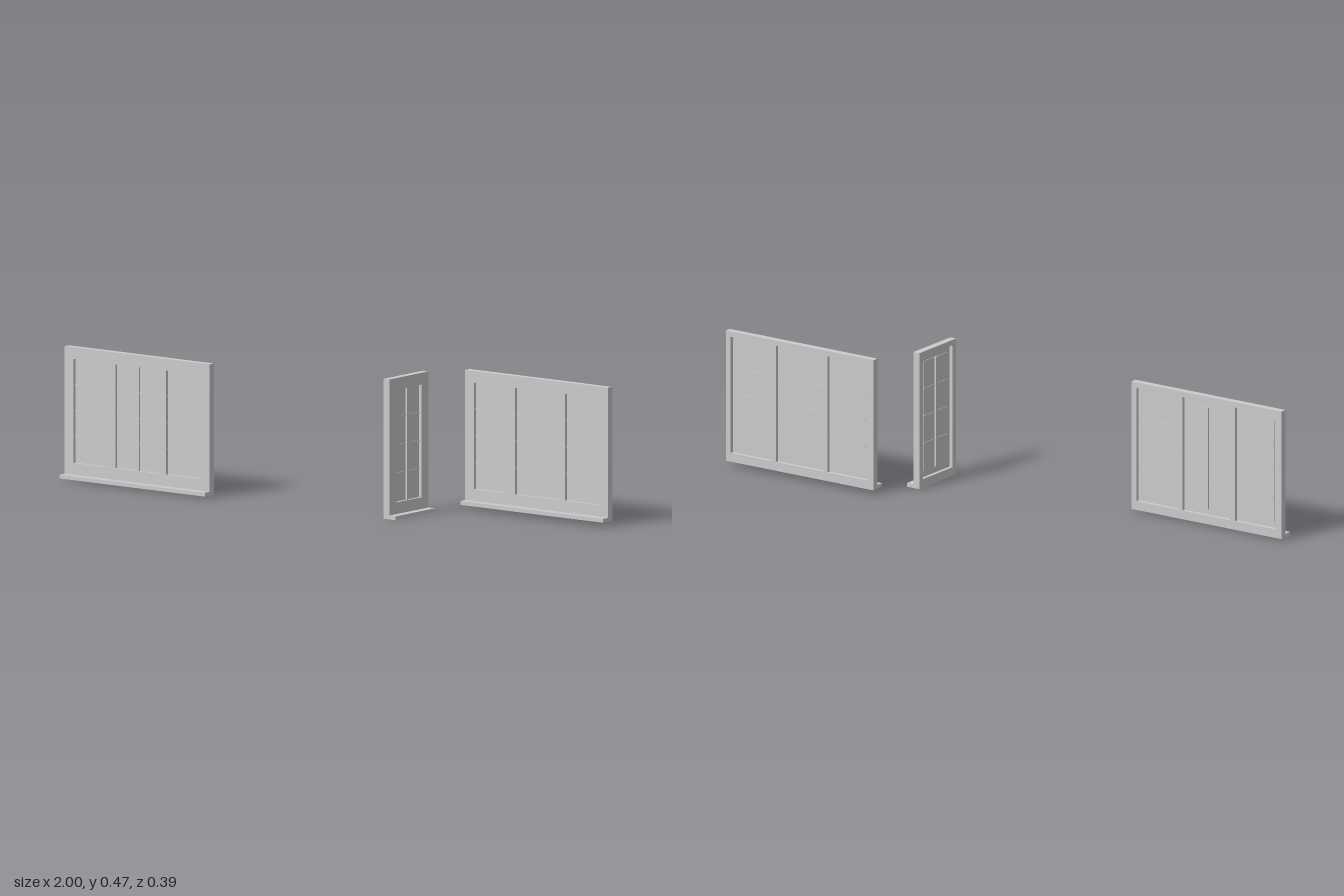
import * as THREE from 'three';

const material = new THREE.MeshStandardMaterial({ color: 0xcccccc });
const DEPTH = 0.024;        // full frame thickness
const SILL = 0.013;         // sill height

function addBox(group, name, w, h, d, x, y, z) {
  const mesh = new THREE.Mesh(new THREE.BoxGeometry(w, h, d), material);
  mesh.name = name;
  mesh.position.set(x, y, z);
  group.add(mesh);
}

// Flat board from z0 to z1 with a rectangular opening per [x0, x1] span
function addBoard(group, name, w, h, spans, y0, y1, z0, z1) {
  const rect = (path, a, b, c, d) =>
    path.moveTo(a, b).lineTo(c, b).lineTo(c, d).lineTo(a, d).closePath();
  const shape = rect(new THREE.Shape(), -w / 2, 0, w / 2, h);
  for (const [a, b] of spans) shape.holes.push(rect(new THREE.Path(), a, y0, b, y1));
  const geometry = new THREE.ExtrudeGeometry(shape, { depth: z1 - z0, bevelEnabled: false });
  geometry.translate(0, 0, z0);
  const mesh = new THREE.Mesh(geometry, material);
  mesh.name = name;
  group.add(mesh);
}

// One window facing +z with its back on z = 0; split lists the sashes with a centre bar
function buildWindow(name, w, h, spans, split, sillDepth) {
  const group = new THREE.Group();
  group.name = name;
  const y0 = 0.052, y1 = h - 0.039;

  // Wide front casing, and a slimmer rim behind it
  addBoard(group, 'frontCasing', w, h, spans, y0, y1, 0.012, DEPTH);
  const rimSpans = spans.map(([a, b], i) => [
    a - (i === 0 ? 0.017 : 0.006),
    b + (i === spans.length - 1 ? 0.017 : 0.006),
  ]);
  addBoard(group, 'backRim', w, h, rimSpans, 0.03, h - 0.018, 0, 0.012);

  // Glass with shallow glazing bars on both faces
  spans.forEach(([a, b], i) => {
    const cx = (a + b) / 2, cy = (y0 + y1) / 2, pw = b - a, ph = y1 - y0;
    addBox(group, 'glass', pw, ph, 0.004, cx, cy, 0.012);
    for (let k = 1; k < 4; k++) {
      addBox(group, 'glazingBar', pw, 0.005, 0.008, cx, y0 + (ph * k) / 4, 0.012);
    }
    if (split.includes(i)) addBox(group, 'centreBar', 0.008, ph, 0.016, cx, cy, 0.012);
  });

  addBox(group, 'sill', w, SILL, sillDepth, 0, SILL / 2, DEPTH + sillDepth / 2);
  return group;
}

export function createModel() {
  const model = new THREE.Group();
  model.name = 'windowSet';
  const triple = (w) => [[0.062, 0.30], [0.35, 0.65], [0.70, 0.938]]
    .map((span) => span.map((f) => (f - 0.5) * w));

  const rightWindow = buildWindow('rightWindow', 0.605, 0.438, triple(0.605), [1], 0.026);
  rightWindow.position.set(-0.6975, 0.007, 0.146);

  const leftWindow = buildWindow('leftWindow', 0.595, 0.447, triple(0.595), [], 0.026);
  leftWindow.position.set(0.7025, 0.016, -0.195);

  // Narrow window turned to face +x
  const sideWindow = buildWindow('sideWindow', 0.209, 0.467, [[-0.067, 0.067]], [0], 0.026);
  sideWindow.rotation.y = Math.PI / 2;
  sideWindow.position.set(0.32, 0, 0.0525);

  model.add(rightWindow, leftWindow, sideWindow);
  return model;
}
